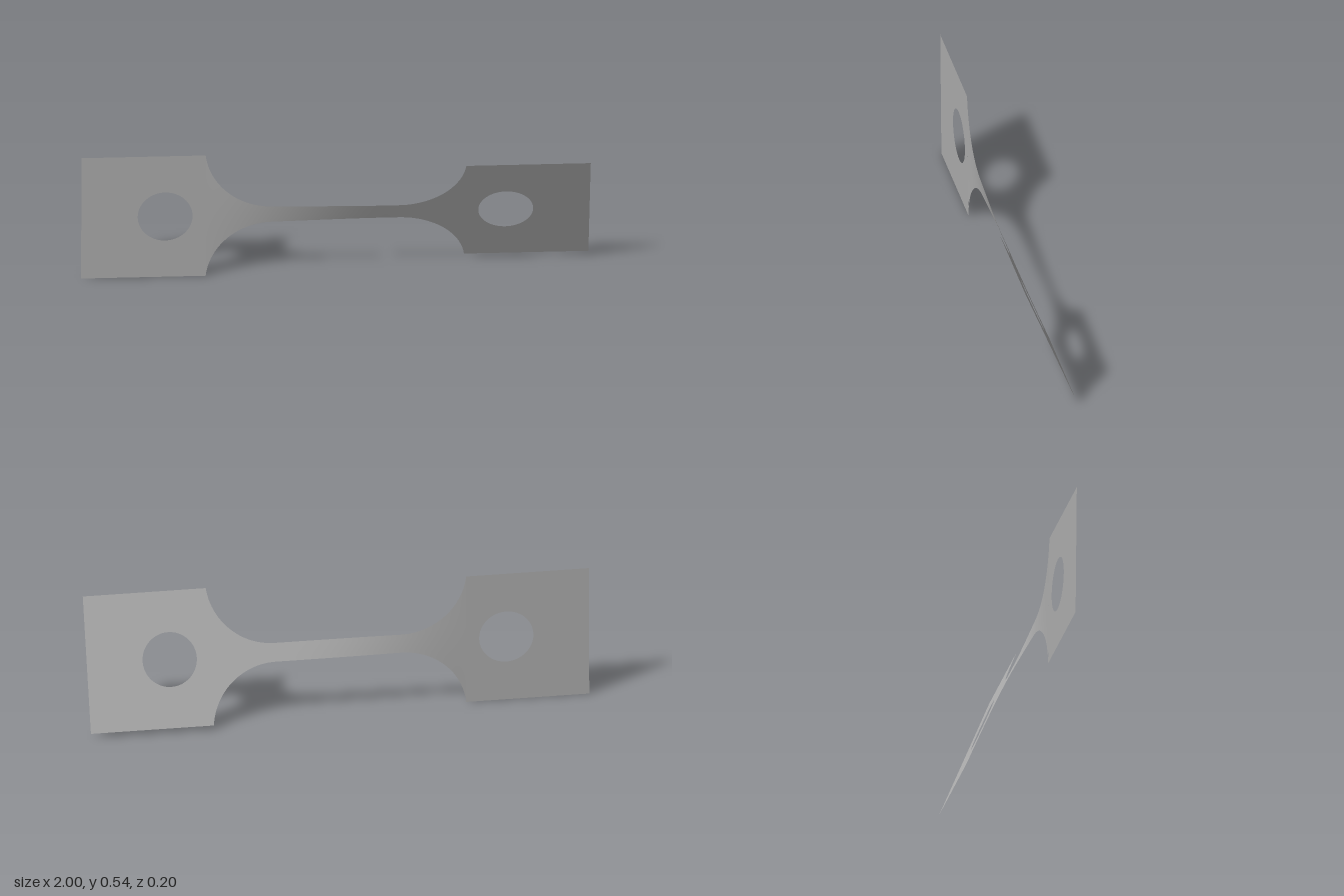
import * as THREE from 'three';

const HALF = 0.271;      // half height of the end plates
const NECK = 0.037;      // half height of the neck
const R = 0.262;         // fillet radius
const FILLET_X = 0.25;   // where the neck meets the fillets
const FLAT = 0.009;      // twist angle at the left end
const TILT = 0.381;      // twist angle at the right end

// Twist about the long axis, easing from one end to the other
const twist = (x) => FLAT + (TILT - FLAT) * THREE.MathUtils.smoothstep(x, -0.53, 0.2);

export function createModel() {
  const group = new THREE.Group();
  const metal = new THREE.MeshStandardMaterial({ color: 0xb0b0b0, side: THREE.DoubleSide });
  metal.name = 'grey metal';

  const add = (name, geometry) => {
    const mesh = new THREE.Mesh(geometry, metal);
    mesh.name = name;
    mesh.position.y = HALF;
    group.add(mesh);
    return mesh;
  };

  // Sweep of the fillet arc, from the neck to the edge of the plate
  const sweep = Math.acos((NECK + R - HALF) / R);
  const plateX = FILLET_X + R * Math.sin(sweep);

  // End plates with a round bolt hole
  for (const [name, side, angle] of [['leftPlate', 1, TILT], ['rightPlate', -1, FLAT]]) {
    const shape = new THREE.Shape();
    shape.moveTo(side * plateX, -HALF);
    shape.lineTo(side, -HALF);
    shape.lineTo(side, HALF);
    shape.lineTo(side * plateX, HALF);
    shape.closePath();
    const hole = new THREE.Path();
    hole.absarc(side * 0.67, 0, 0.108, 0, Math.PI * 2, true);
    shape.holes.push(hole);
    add(name, new THREE.ShapeGeometry(shape, 32)).rotation.x = angle;
  }

  // Stations along the twisted neck: fillet, straight part, fillet
  const stations = [];
  for (let i = 24; i > 0; i--) {
    const a = (sweep * i) / 24;
    stations.push([-FILLET_X - R * Math.sin(a), NECK + R - R * Math.cos(a)]);
  }
  const mirrored = stations.map(([x, h]) => [-x, h]).reverse();
  for (let i = 0; i <= 24; i++) stations.push([FILLET_X * (i / 12 - 1), NECK]);
  stations.push(...mirrored);

  // Twisted neck, one cross-section per station
  const rows = 6;
  const neck = new THREE.PlaneGeometry(1, 1, stations.length - 1, rows);
  const p = neck.attributes.position;
  for (let i = 0; i < p.count; i++) {
    const [x, half] = stations[i % stations.length];
    const v = p.getY(i) * 2 * half;
    const a = twist(x);
    p.setXYZ(i, x, v * Math.cos(a), v * Math.sin(a));
  }
  neck.computeVertexNormals();
  add('twistedNeck', neck);

  return group;
}
